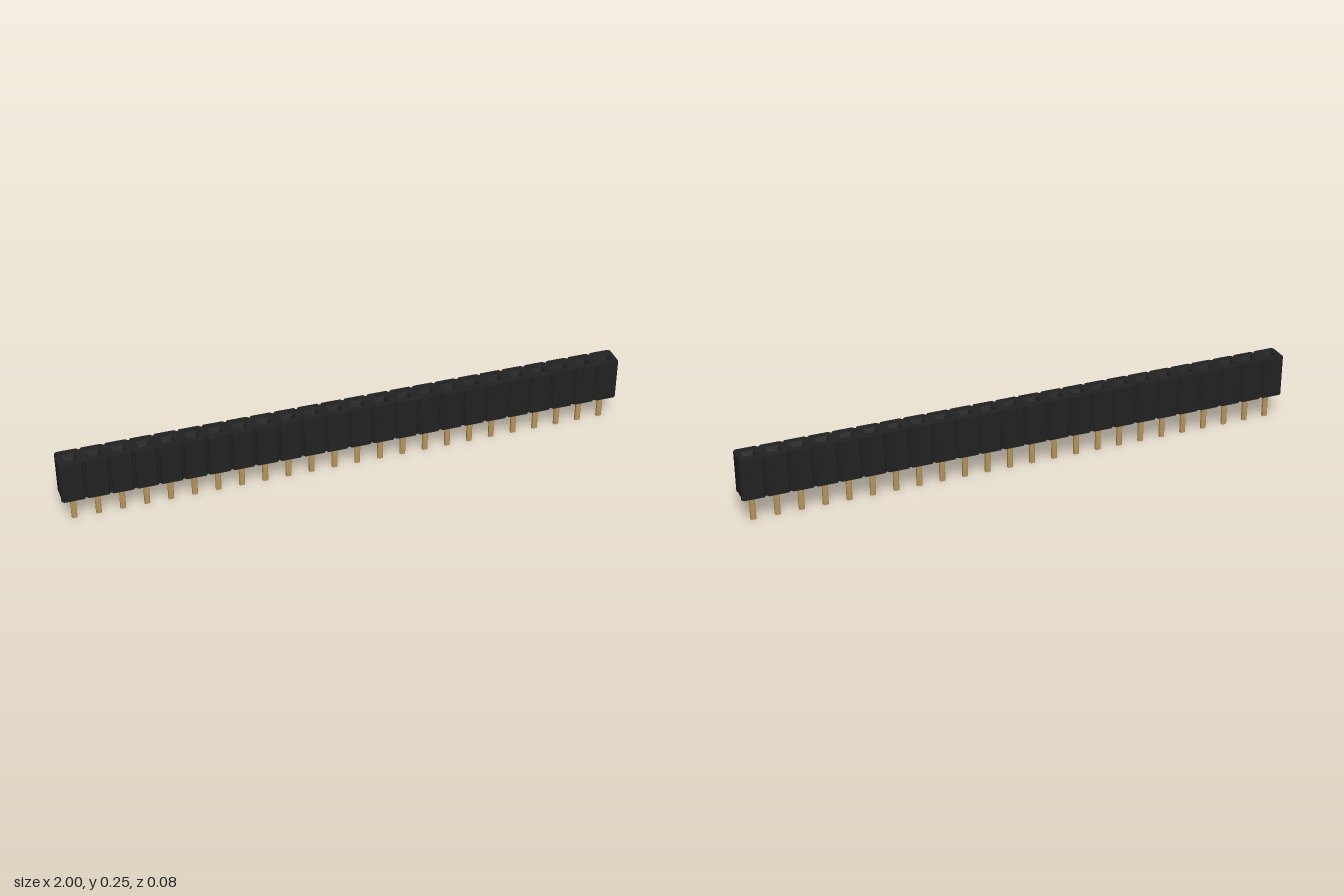
import * as THREE from 'three';

const COUNT = 24, PITCH = 2 / COUNT;
const HALF_DEPTH = 0.042, GROOVE_Z = 0.034, FOOT_Z = 0.025;
const FOOT_Y = 0.097, BODY_Y = 0.105, TOP_Y = 0.247;
const cellX = (i) => -1 + PITCH * (i + 0.5);

// Notched edge running from x = -1 to x = 1 at positive depth
function notchedEdge() {
  const pts = [];
  for (let i = 0; i < COUNT; i++) {
    const x = cellX(i), h = PITCH / 2;
    const root = h - 0.002, shoulder = h - 0.008;
    pts.push([i === 0 ? -1 : x - root, GROOVE_Z], [x - shoulder, HALF_DEPTH],
      [x + shoulder, HALF_DEPTH], [i === COUNT - 1 ? 1 : x + root, GROOVE_Z]);
  }
  return pts;
}

function shapeOf(points) {
  return new THREE.Shape(points.map(([x, y]) => new THREE.Vector2(x, y)));
}

function rectangle(x, w, d) {
  return [[x - w / 2, -d / 2], [x + w / 2, -d / 2], [x + w / 2, d / 2], [x - w / 2, d / 2]];
}

// Extrude a plan outline upwards between two heights
function upright(shape, y0, y1) {
  const g = new THREE.ExtrudeGeometry(shape, { depth: y1 - y0, bevelEnabled: false });
  return g.rotateX(-Math.PI / 2).translate(0, y0, 0);
}

export function createModel() {
  const group = new THREE.Group();
  const plastic = new THREE.MeshStandardMaterial({ color: 0x222222, side: THREE.DoubleSide });
  plastic.name = 'black plastic';
  const gold = new THREE.MeshStandardMaterial({ color: 0xb8955a });
  gold.name = 'gold metal';

  const add = (name, geometry, material, x = 0) => {
    const mesh = new THREE.Mesh(geometry, material);
    mesh.name = name;
    mesh.position.x = x;
    group.add(mesh);
  };

  // Housing with one socket hole per cell
  const edge = notchedEdge();
  const back = edge.map(([x, z]) => [x, -z]);
  const outline = shapeOf([...back, ...[...edge].reverse()]);
  const HOLE_W = 0.044, HOLE_D = 0.034;
  for (let i = 0; i < COUNT; i++) {
    const hole = rectangle(cellX(i), HOLE_W, HOLE_D).reverse();
    outline.holes.push(new THREE.Path(hole.map(([x, y]) => new THREE.Vector2(x, y))));
  }
  add('housing', upright(outline, BODY_Y, TOP_Y), plastic);

  // Standoff rails on both sides of the underside channel
  const rail = upright(shapeOf([[-1, FOOT_Z], [1, FOOT_Z], ...[...edge].reverse()]), FOOT_Y, BODY_Y);
  add('backRail', rail, plastic);
  add('frontRail', rail.clone().rotateY(Math.PI), plastic);

  // Sloping lead-in of each socket
  const funnel = new THREE.CylinderGeometry(Math.SQRT1_2, 0.48, 0.022, 4, 1, true).toNonIndexed();
  funnel.rotateY(Math.PI / 4).scale(HOLE_W, 1, HOLE_D).translate(0, TOP_Y - 0.011, 0);
  funnel.computeVertexNormals();

  // Contact filling the socket, and chamfered solder pin
  const contact = new THREE.BoxGeometry(0.034, 0.11, 0.024).translate(0, 0.161, 0);
  const floor = new THREE.BoxGeometry(HOLE_W, 0.004, HOLE_D).translate(0, BODY_Y + 0.002, 0);
  const w = 0.0095, d = 0.007, c = 0.003;
  const pin = upright(shapeOf([[-w + c, -d], [w - c, -d], [w, -d + c], [w, d - c],
    [w - c, d], [-w + c, d], [-w, d - c], [-w, -d + c]]), 0, 0.12);

  for (let i = 0; i < COUNT; i++) {
    const x = cellX(i);
    add('socketFunnel', funnel, plastic, x);
    add('socketFloor', floor, plastic, x);
    add('contact', contact, gold, x);
    add('pin', pin, gold, x);
  }
  return group;
}
